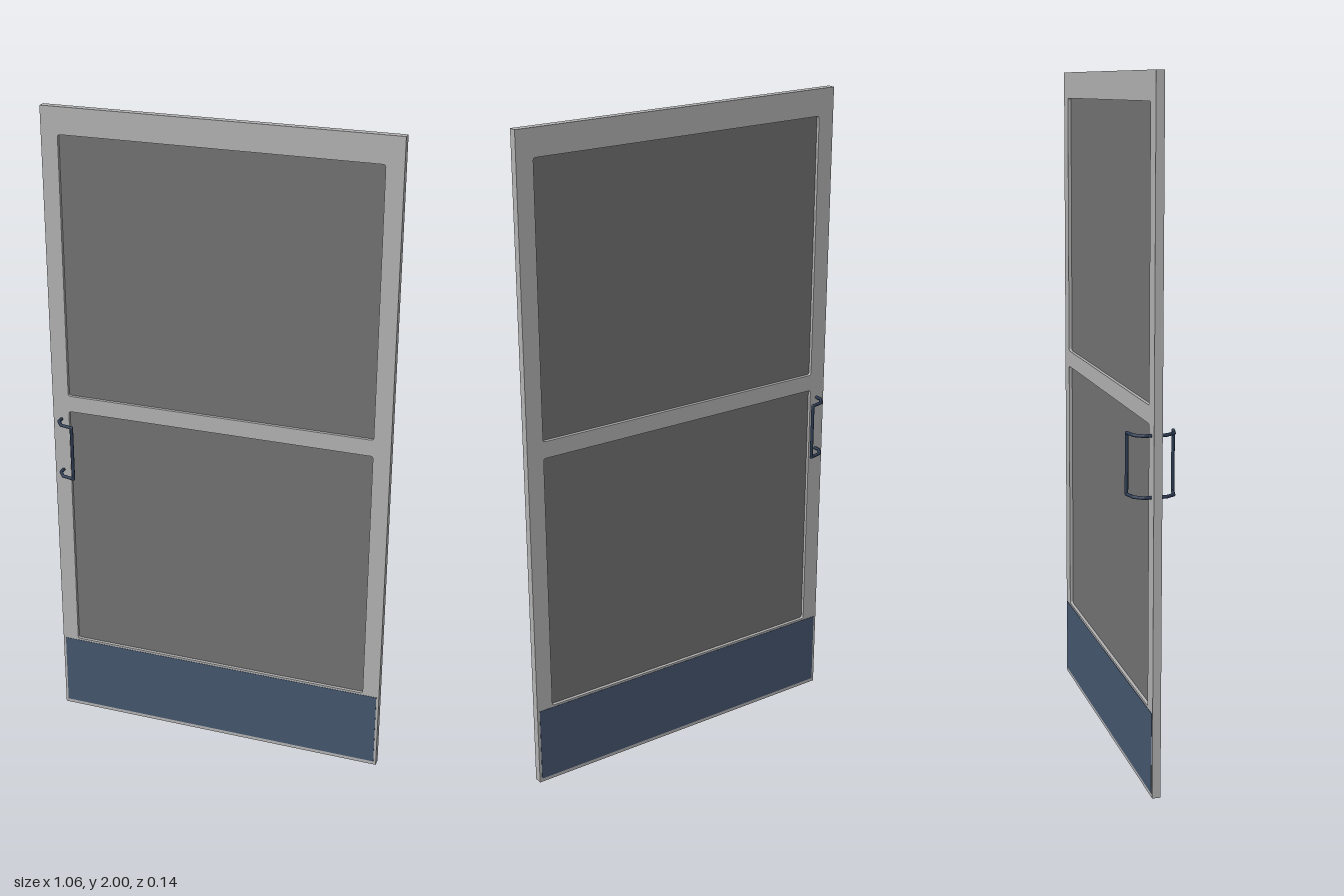
import * as THREE from 'three';

const mat = (name, color, side = THREE.FrontSide) => {
  const m = new THREE.MeshStandardMaterial({ color, side });
  m.name = name;
  return m;
};

// Rectangle with rounded corners, traced into a Shape or a Path
function roundedRect(target, x0, y0, x1, y1, r) {
  target.moveTo(x0 + r, y0);
  target.lineTo(x1 - r, y0);
  target.quadraticCurveTo(x1, y0, x1, y0 + r);
  target.lineTo(x1, y1 - r);
  target.quadraticCurveTo(x1, y1, x1 - r, y1);
  target.lineTo(x0 + r, y1);
  target.quadraticCurveTo(x0, y1, x0, y1 - r);
  target.lineTo(x0, y0 + r);
  target.quadraticCurveTo(x0, y0, x0 + r, y0);
  return target;
}

export function createModel() {
  const frameGrey = mat('frame grey', 0xb2b2b2);
  const screenGrey = mat('screen grey', 0x727272);
  const plateBlue = mat('kick plate blue', 0x45566f);
  const handleBlue = mat('handle dark blue', 0x2c3b52);

  const model = new THREE.Group();
  model.name = 'screenDoor';
  const add = (parent, name, geometry, material, x = 0, y = 0, z = 0) => {
    const mesh = new THREE.Mesh(geometry, material);
    mesh.name = name;
    mesh.position.set(x, y, z);
    parent.add(mesh);
    return mesh;
  };

  // Frame with two openings
  const W = 0.532, D = 0.024;
  const openings = [[0.255, 1.062], [1.113, 1.92]];
  const outline = new THREE.Shape();
  outline.moveTo(-W, 0);
  outline.lineTo(W, 0);
  outline.lineTo(W, 2);
  outline.lineTo(-W, 2);
  outline.closePath();
  for (const [y0, y1] of openings) {
    outline.holes.push(roundedRect(new THREE.Path(), -0.48, y0, 0.48, y1, 0.008));
  }
  const frame = new THREE.ExtrudeGeometry(outline, { depth: D, bevelEnabled: false, curveSegments: 4 });
  frame.translate(0, 0, -D / 2);
  add(model, 'frame', frame, frameGrey);

  // Screens recessed in the middle of the frame
  openings.forEach(([y0, y1], i) => {
    add(model, i ? 'upperScreen' : 'lowerScreen',
      new THREE.BoxGeometry(0.964, y1 - y0 + 0.004, 0.004), screenGrey, 0, (y0 + y1) / 2, 0);
  });

  // Kick plates and pull handles, one of each per side
  for (const s of [1, -1]) {
    const label = s > 0 ? 'front' : 'back';
    add(model, label + 'KickPlate', new THREE.BoxGeometry(1.048, 0.237, 0.002), plateBlue, 0, 0.13, s * D / 2);

    const handle = new THREE.Group();
    handle.name = label + 'Handle';
    model.add(handle);
    const r = 0.005, yLow = 0.862, yHigh = 1.034;
    const arm = [[-0.505, 0.01], [-0.505, 0.032], [-0.487, 0.057], [-0.448, 0.066]];
    for (const y of [yLow, yHigh]) {
      // Bent arm: straight rods joined by small balls
      for (let i = 0; i < arm.length - 1; i++) {
        const a = new THREE.Vector3(arm[i][0], y, s * arm[i][1]);
        const b = new THREE.Vector3(arm[i + 1][0], y, s * arm[i + 1][1]);
        const rod = add(handle, 'handleArm', new THREE.CylinderGeometry(r, r, a.distanceTo(b), 10), handleBlue);
        rod.position.copy(a).add(b).multiplyScalar(0.5);
        rod.quaternion.setFromUnitVectors(new THREE.Vector3(0, 1, 0), b.clone().sub(a).normalize());
        add(handle, 'handleJoint', new THREE.SphereGeometry(r, 10, 8), handleBlue, b.x, b.y, b.z);
      }
    }
    add(handle, 'handleGrip', new THREE.CylinderGeometry(r, r, yHigh - yLow, 10), handleBlue,
      -0.448, (yLow + yHigh) / 2, s * 0.066);
  }

  return model;
}
